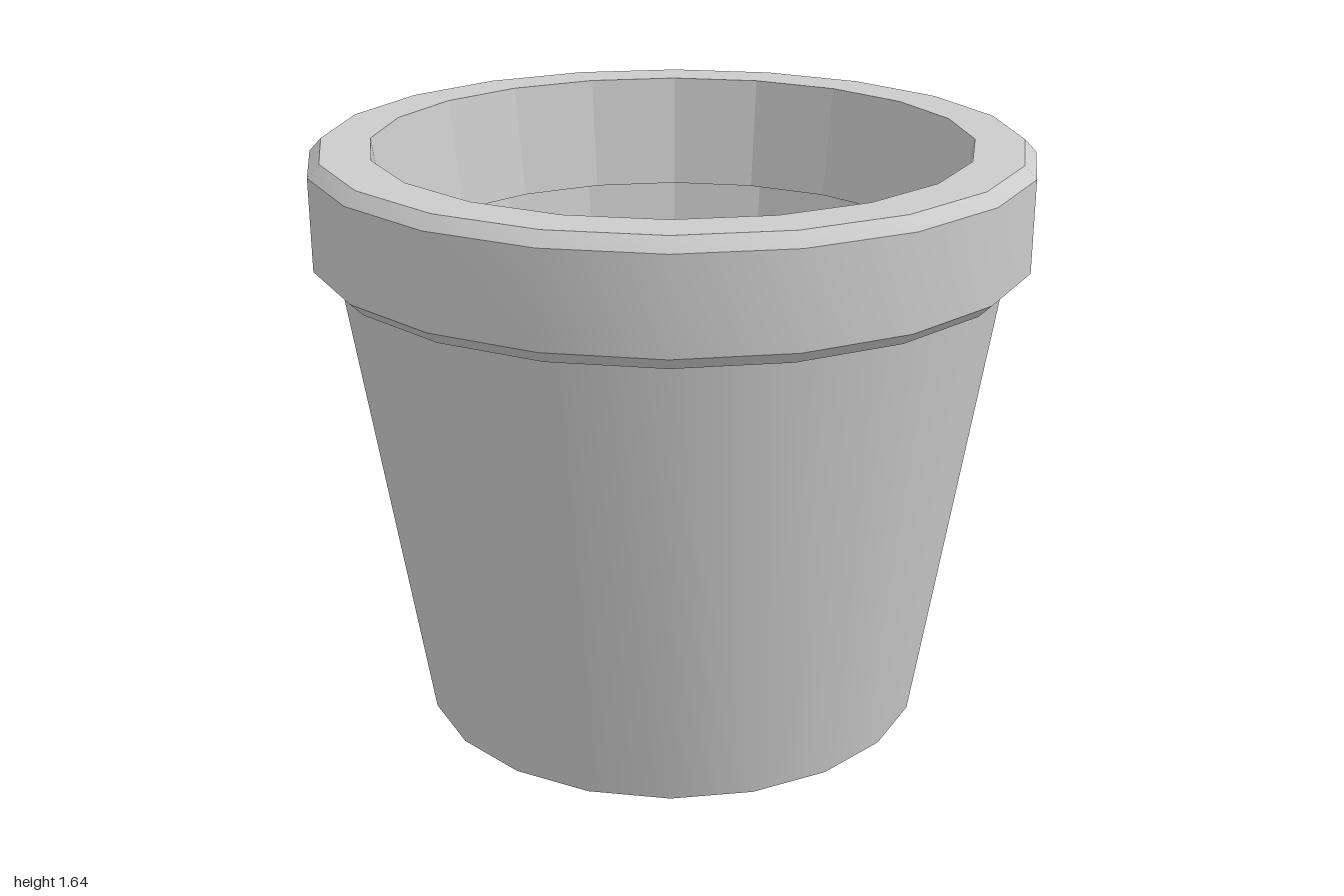
import * as THREE from 'three';
import { toCreasedNormals } from 'three/addons/utils/BufferGeometryUtils.js';

const SIDES = 20;

// Turns a [radius, height] profile; edges sharper than the crease angle stay hard.
function turned(name, profile, creaseDegrees) {
  const points = profile.map(([r, y]) => new THREE.Vector2(r, y));
  const geometry = toCreasedNormals(
    new THREE.LatheGeometry(points, SIDES),
    THREE.MathUtils.degToRad(creaseDegrees)
  );
  const mesh = new THREE.Mesh(geometry, new THREE.MeshStandardMaterial({ color: 0xcccccc }));
  mesh.name = name;
  return mesh;
}

export function createModel() {
  const pot = new THREE.Group();
  pot.name = 'flowerPot';

  // Closed base and tapered outer wall
  pot.add(turned('body', [[0, 0], [0.725, 0], [0.93, 1.32]], 30));

  // Thick collar with chamfered edges
  pot.add(turned('rim', [
    [0.93, 1.32], [0.965, 1.32], [1, 1.355], [1, 1.61], [0.967, 1.645], [0.83, 1.645],
  ], 30));

  // Faceted inside of the collar, overhanging the thinner wall below it
  pot.add(turned('rimInside', [[0.83, 1.645], [0.785, 1.32], [0.89, 1.32]], 10));

  // Inner wall parallel to the outside, and the floor
  pot.add(turned('innerWall', [[0.89, 1.32], [0.697, 0.06], [0, 0.06]], 10));

  return pot;
}
